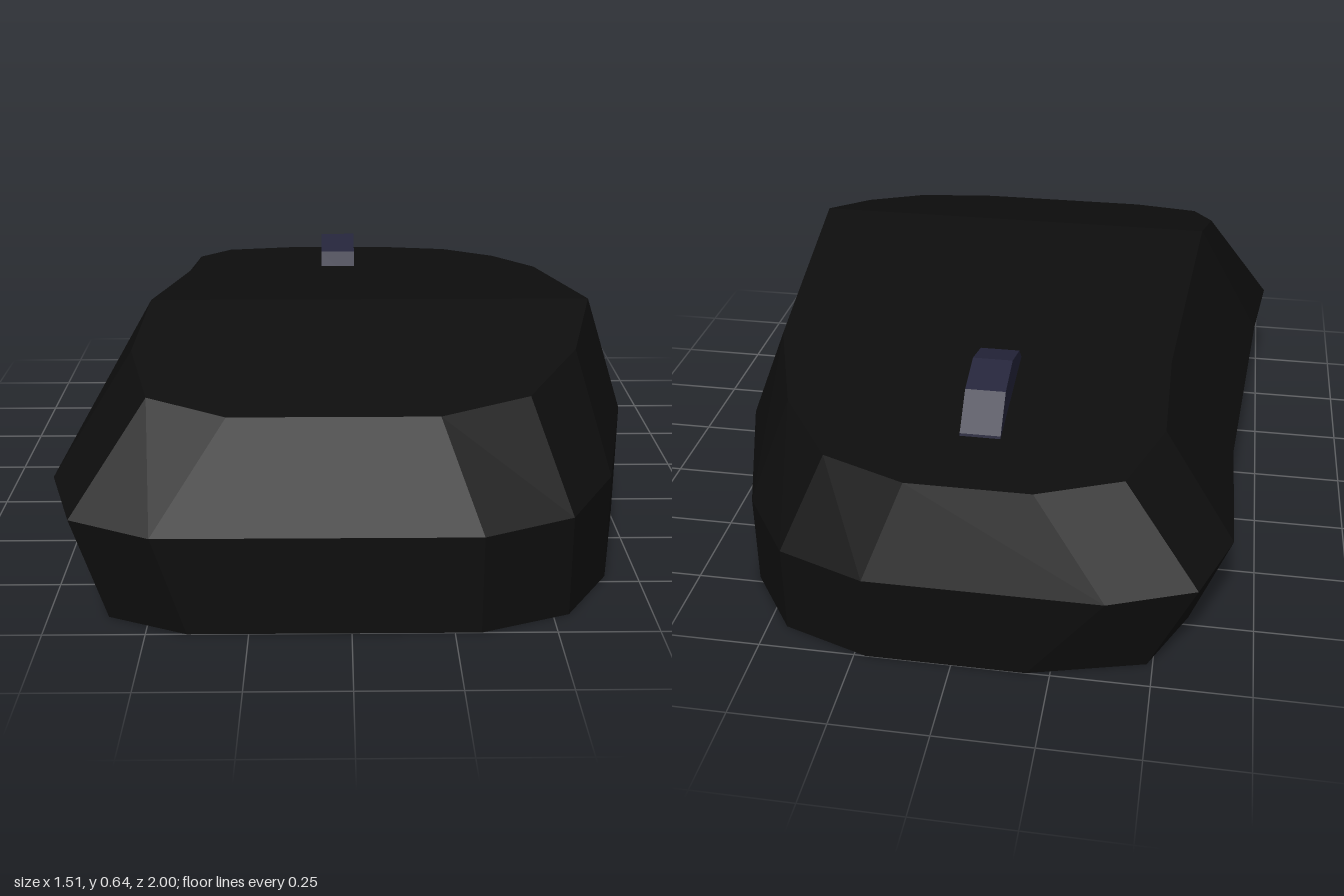
import * as THREE from 'three';

const body = new THREE.MeshStandardMaterial({ color: 0x0d0d0d, flatShading: true, side: THREE.DoubleSide });
body.name = 'matt black';
const accent = new THREE.MeshStandardMaterial({ color: 0x24243a, flatShading: true, side: THREE.DoubleSide });
accent.name = 'dark indigo';

// Outlines run clockwise seen from above as [x, z], starting at the back edge.
const widest = [
  [-0.38, -1], [0.22, -1], [0.45, -0.92], [0.585, -0.73], [0.705, -0.33], [0.755, 0.34], [0.665, 0.72], [0.54, 0.915],
  [0.315, 1], [-0.48, 1], [-0.685, 0.915], [-0.755, 0.71], [-0.72, 0.345], [-0.67, -0.33], [-0.68, -0.72], [-0.6, -0.92],
];
const crown = [
  [-0.19, -0.895], [0.13, -0.895], [0.35, -0.82], [0.5, -0.62], [0.6, -0.33], [0.65, 0.345], [0.58, 0.585], [0.44, 0.785],
  [0.215, 0.865], [-0.3, 0.865], [-0.5, 0.785], [-0.56, 0.585], [-0.535, 0.345], [-0.485, -0.33], [-0.49, -0.62], [-0.405, -0.82],
];
// The thumb side tucks in towards the base; the other side drops straight down.
const tuckedX = { 0: -0.19, 9: -0.4, 10: -0.6, 11: -0.66, 12: -0.62, 13: -0.57, 14: -0.58, 15: -0.485 };
const base = widest.map(([x, z], i) => [tuckedX[i] ?? x, z]);

// Height falls away in a straight line on both sides of the hump
const ridge = (peak, frontSlope, backSlope) => (z) =>
  peak - (z > 0.345 ? (z - 0.345) * frontSlope : (0.345 - z) * backSlope);

const lift = (outline, height) => outline.map(([x, z]) => [x, height(z), z]);

function createShell() {
  const rings = [
    lift(base, () => 0),
    lift(widest, ridge(0.325, 0.105, 0.066)),
    lift(crown, ridge(0.645, 0.26, 0.145)),
  ];
  const n = base.length;
  const positions = [];
  const quad = (a, b, c, d) => positions.push(...a, ...b, ...c, ...a, ...c, ...d);

  // Walls
  for (let r = 0; r < 2; r++) {
    for (let i = 0; i < n; i++) {
      const j = (i + 1) % n;
      quad(rings[r][i], rings[r + 1][i], rings[r + 1][j], rings[r][j]);
    }
  }
  // Top, in strips from back to front
  const top = rings[2];
  for (let i = 0; i < n / 2 - 1; i++) {
    quad(top[(n - i) % n], top[n - i - 1], top[i + 2], top[i + 1]);
  }

  const geometry = new THREE.BufferGeometry();
  geometry.setAttribute('position', new THREE.Float32BufferAttribute(positions, 3));
  geometry.computeVertexNormals();
  return geometry;
}

export function createModel() {
  const model = new THREE.Group();
  model.name = 'computerMouse';

  // Hollow shell, open underneath
  const shell = new THREE.Mesh(createShell(), body);
  shell.name = 'shell';
  model.add(shell);

  // Upper half of the scroll wheel
  const wheelGeometry = new THREE.CylinderGeometry(0.225, 0.225, 0.105, 6, 1, false, 0, Math.PI);
  wheelGeometry.rotateZ(Math.PI / 2);
  const wheel = new THREE.Mesh(wheelGeometry, accent);
  wheel.name = 'scrollWheel';
  wheel.position.set(-0.027, 0.387, -0.508);
  model.add(wheel);

  return model;
}
